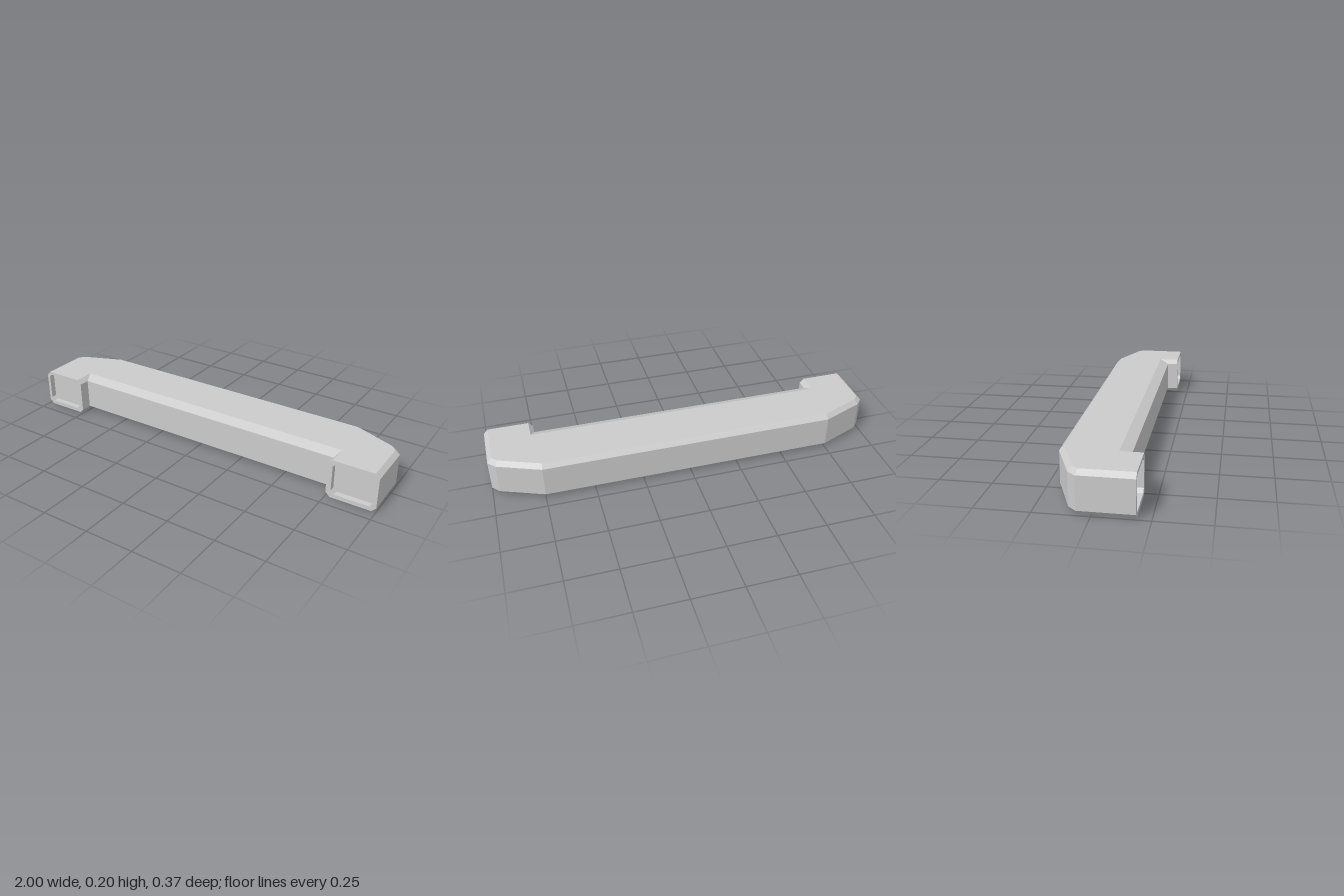
import * as THREE from 'three';

const H = 0.2, C = 0.022, FRONT = 0.187, POCKET = 0.03;

const material = new THREE.MeshStandardMaterial({ color: 0xcccccc, flatShading: true });

function addMesh(parent, name, geometry) {
  const mesh = new THREE.Mesh(geometry, material);
  mesh.name = name;
  parent.add(mesh);
  return mesh;
}

// Joins successive rings of [x, y, z] points with quads; skip lists ring edges left open.
function stitch(rings, skip = []) {
  const pos = [];
  const n = rings[0].length;
  for (let r = 0; r < rings.length - 1; r++) {
    for (let i = 0; i < n; i++) {
      if (skip.includes(i)) continue;
      const j = (i + 1) % n;
      const a = rings[r][i], b = rings[r][j], c = rings[r + 1][j], d = rings[r + 1][i];
      pos.push(...a, ...b, ...c, ...a, ...c, ...d);
    }
  }
  const geometry = new THREE.BufferGeometry();
  geometry.setAttribute('position', new THREE.Float32BufferAttribute(pos, 3));
  geometry.computeVertexNormals();
  return geometry;
}

// Plan outline [x, z] from right-hand half profiles, counter-clockwise from above.
function plan(outer, inner) {
  const flip = (pts) => pts.map(([x, z]) => [-x, z]).reverse();
  return [...outer, ...flip(outer), ...flip(inner), ...inner];
}

// Rectangle with cut corners, counter-clockwise.
function cutRect(x0, y0, x1, y1, c) {
  return [
    [x0 + c, y0], [x1 - c, y0], [x1, y0 + c], [x1, y1 - c],
    [x1 - c, y1], [x0 + c, y1], [x0, y1 - c], [x0, y0 + c],
  ];
}

const toShape = (pts) => new THREE.Shape(pts.map(([x, y]) => new THREE.Vector2(x, y)));

export function createModel() {
  const group = new THREE.Group();
  group.name = 'bumperBar';

  // Full outline at mid height, and the narrower outline of the top and bottom faces
  const full = plan(
    [[1, FRONT], [1, -0.062], [0.965, -0.1], [0.75, -FRONT]],
    [[0.75, 0.13], [0.75, FRONT]],
  );
  const inset = plan(
    [[1 - C, FRONT], [1 - C, -0.053], [0.952, -0.082], [0.746, -FRONT + C]],
    [[0.75 + C, 0.08], [0.75 + C, FRONT]],
  );
  const ring = (outline, y) => outline.map(([x, z]) => [x, y, z]);

  // Bevelled walls, left open at the two leg ends
  addMesh(group, 'barWalls', stitch(
    [ring(inset, 0), ring(full, C), ring(full, H - C), ring(inset, H)],
    [7, 11],
  ));

  // Flat top and bottom
  const top = new THREE.ShapeGeometry(toShape(inset.map(([x, z]) => [x, -z])));
  addMesh(group, 'barTop', top.rotateX(-Math.PI / 2).translate(0, H, 0));
  const bottom = new THREE.ShapeGeometry(toShape(inset));
  addMesh(group, 'barBottom', bottom.rotateX(Math.PI / 2));

  // Leg ends: a rim around a shallow recessed pocket
  for (const side of [1, -1]) {
    const end = new THREE.Group();
    end.name = side > 0 ? 'leftEnd' : 'rightEnd';
    const span = (near, far) => (side > 0 ? [near, far] : [-far, -near]);
    const [x0, x1] = span(0.75, 1);
    const [h0, h1] = span(0.775, 0.984);
    const hole = cutRect(h0, 0.021, h1, 0.184, 0.017);

    const rim = toShape(cutRect(x0, 0, x1, H, C));
    rim.holes.push(toShape(hole));
    addMesh(end, 'endRim', new THREE.ShapeGeometry(rim).translate(0, 0, FRONT));

    const at = (z) => hole.map(([x, y]) => [x, y, z]);
    addMesh(end, 'pocketWalls', stitch([at(FRONT), at(FRONT - POCKET)]));
    addMesh(end, 'pocketFloor',
      new THREE.ShapeGeometry(toShape(hole)).translate(0, 0, FRONT - POCKET));
    group.add(end);
  }
  return group;
}
